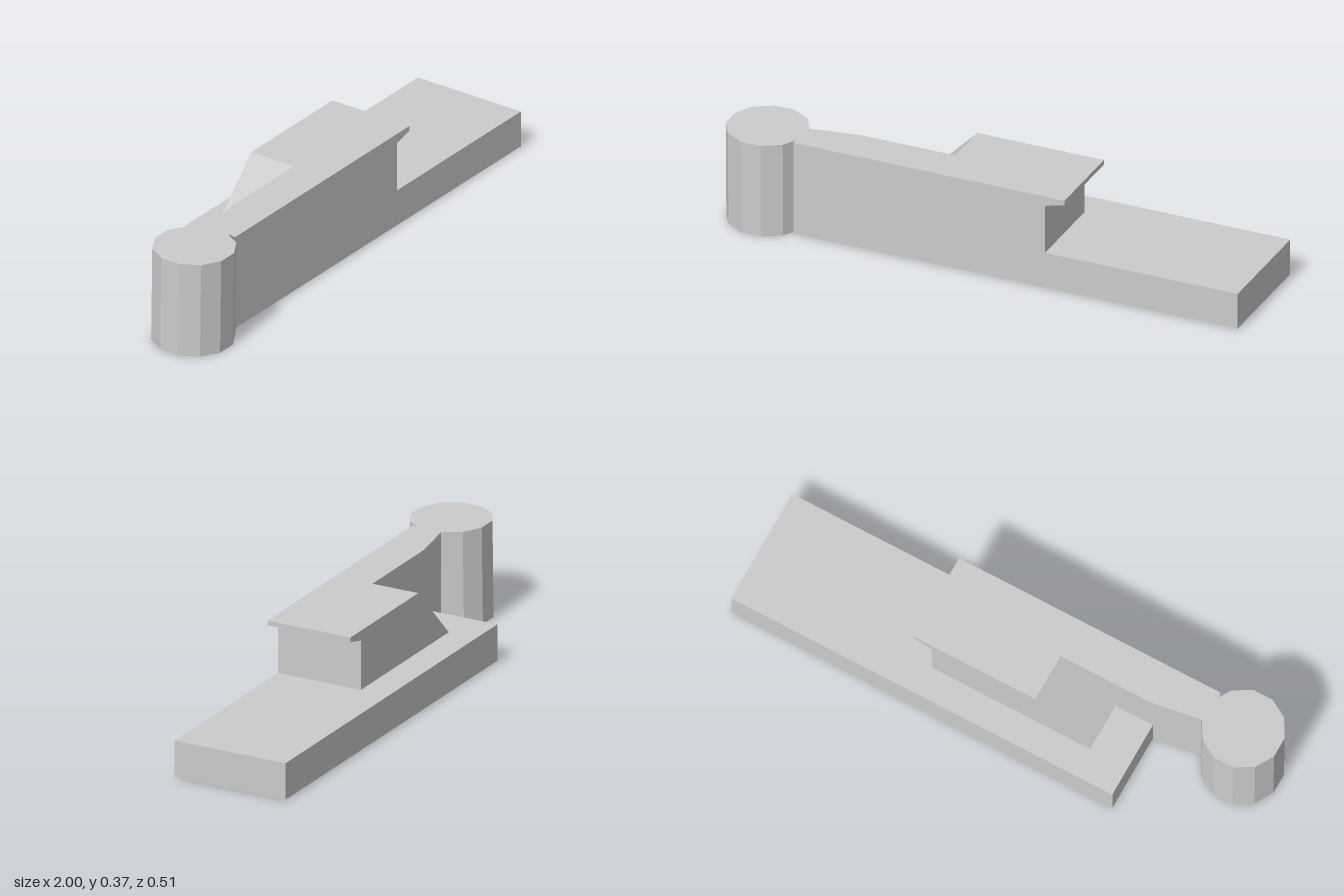
import * as THREE from 'three';

// Heights
const BOTTOM = 0.005, DECK = 0.143, TOP = 0.367;
// Depths
const FRONT = 0.19, ARM_BACK = 0.04, BLOCK_BACK = -0.145, BASE_BACK = -0.257;
// Key positions along the length
const ARM_END = -0.72, NECK = -0.71, BASE_END = -0.53, RAMP_FOOT = -0.38, RAMP_TOP = -0.16;
const STEP = 0.255, LIP = 0.33, BASE_TIP = 1;
const LIP_ROOT_Y = 0.33, LIP_EDGE_Y = 0.349;

const material = new THREE.MeshStandardMaterial({
  color: 0xcccccc, flatShading: true, side: THREE.DoubleSide,
});

// Flat sheet through 3D corners; axis is the one dropped for triangulating,
// sign says which way along that axis the sheet faces.
function panel(name, axis, sign, corners) {
  const u = (axis + 1) % 3, v = (axis + 2) % 3;
  const flat = corners.map((p) => new THREE.Vector2(p[u], p[v]));
  const faces = THREE.ShapeUtils.triangulateShape(flat, []);
  const positions = [];
  for (const [a, b, c] of faces) {
    const ab = flat[b].clone().sub(flat[a]), ac = flat[c].clone().sub(flat[a]);
    const order = ab.cross(ac) * sign > 0 ? [a, b, c] : [a, c, b];
    order.forEach((i) => positions.push(...corners[i]));
  }
  const geometry = new THREE.BufferGeometry();
  geometry.setAttribute('position', new THREE.Float32BufferAttribute(positions, 3));
  geometry.computeVertexNormals();
  const mesh = new THREE.Mesh(geometry, material);
  mesh.name = name;
  return mesh;
}

// Sheets lying at a constant x, y or z
const atX = (name, x, sign, pts) => panel(name, 0, sign, pts.map(([z, y]) => [x, y, z]));
const atY = (name, y, pts) => panel(name, 1, 1, pts.map(([x, z]) => [x, y, z]));
const atZ = (name, z, sign, pts) => panel(name, 2, sign, pts.map(([x, y]) => [x, y, z]));
const rect = (a0, b0, a1, b1) => [[a0, b0], [a1, b0], [a1, b1], [a0, b1]];

export function createModel() {
  const model = new THREE.Group();
  model.name = 'steppedBracket';

  // Step and lip profile shared by the front and back sides
  const lipProfile = [[STEP, DECK], [STEP, LIP_ROOT_Y], [LIP, LIP_EDGE_Y], [LIP, TOP]];

  // Base tray, open underneath
  const base = new THREE.Group();
  base.name = 'base';
  base.add(
    atY('baseDeck', DECK, [
      [BASE_TIP, FRONT], [BASE_TIP, BASE_BACK], [BASE_END, BASE_BACK], [BASE_END, ARM_BACK],
      [RAMP_FOOT, ARM_BACK], [RAMP_FOOT, BLOCK_BACK], [STEP, BLOCK_BACK], [STEP, FRONT],
    ]),
    atZ('baseBack', BASE_BACK, -1, rect(BASE_END, BOTTOM, BASE_TIP, DECK)),
    atX('baseTip', BASE_TIP, 1, rect(BASE_BACK, BOTTOM, FRONT, DECK)),
    atX('baseEnd', BASE_END, -1, rect(BASE_BACK, BOTTOM, ARM_BACK, DECK)),
  );

  // Front side, shared by base, block and arm
  const frontWall = atZ('frontWall', FRONT, 1, [
    [ARM_END, BOTTOM], [BASE_TIP, BOTTOM], [BASE_TIP, DECK], ...lipProfile, [ARM_END, TOP],
  ]);

  // Raised block with overhanging lip and sloping rear ramp
  const block = new THREE.Group();
  block.name = 'block';
  block.add(
    atY('blockTop', TOP, [
      [ARM_END, FRONT], [NECK, 0.07], [BASE_END, ARM_BACK], [RAMP_TOP, ARM_BACK],
      [RAMP_TOP, BLOCK_BACK], [LIP, BLOCK_BACK], [LIP, FRONT],
    ]),
    atZ('blockBack', BLOCK_BACK, -1, [[RAMP_FOOT, DECK], ...lipProfile, [RAMP_TOP, TOP]]),
    atX('blockStep', STEP, 1, rect(BLOCK_BACK, DECK, FRONT, LIP_ROOT_Y)),
    atX('lipEdge', LIP, 1, rect(BLOCK_BACK, LIP_EDGE_Y, FRONT, TOP)),
    panel('lipUnderside', 1, -1, [
      [STEP, LIP_ROOT_Y, BLOCK_BACK], [LIP, LIP_EDGE_Y, BLOCK_BACK],
      [LIP, LIP_EDGE_Y, FRONT], [STEP, LIP_ROOT_Y, FRONT],
    ]),
    panel('ramp', 1, 1, [
      [RAMP_FOOT, DECK, BLOCK_BACK], [RAMP_TOP, TOP, BLOCK_BACK],
      [RAMP_TOP, TOP, ARM_BACK], [RAMP_FOOT, DECK, ARM_BACK],
    ]),
  );

  // Narrow arm tapering to the post
  const arm = new THREE.Group();
  arm.name = 'arm';
  arm.add(
    atZ('armBack', ARM_BACK, -1, rect(BASE_END, DECK, RAMP_TOP, TOP)),
    panel('armTaper', 2, -1, [
      [NECK, BOTTOM, 0.07], [BASE_END, BOTTOM, ARM_BACK],
      [BASE_END, TOP, ARM_BACK], [NECK, TOP, 0.07],
    ]),
  );

  // Twelve-sided end post, leaning very slightly forward
  const post = new THREE.Mesh(
    new THREE.CylinderGeometry(0.15, 0.15, 0.364, 12).rotateY(Math.PI / 12), material);
  post.name = 'endPost';
  post.position.set(-0.855, 0.184, 0.108);
  post.rotation.x = 0.013;

  model.add(base, frontWall, block, arm, post);
  return model;
}
